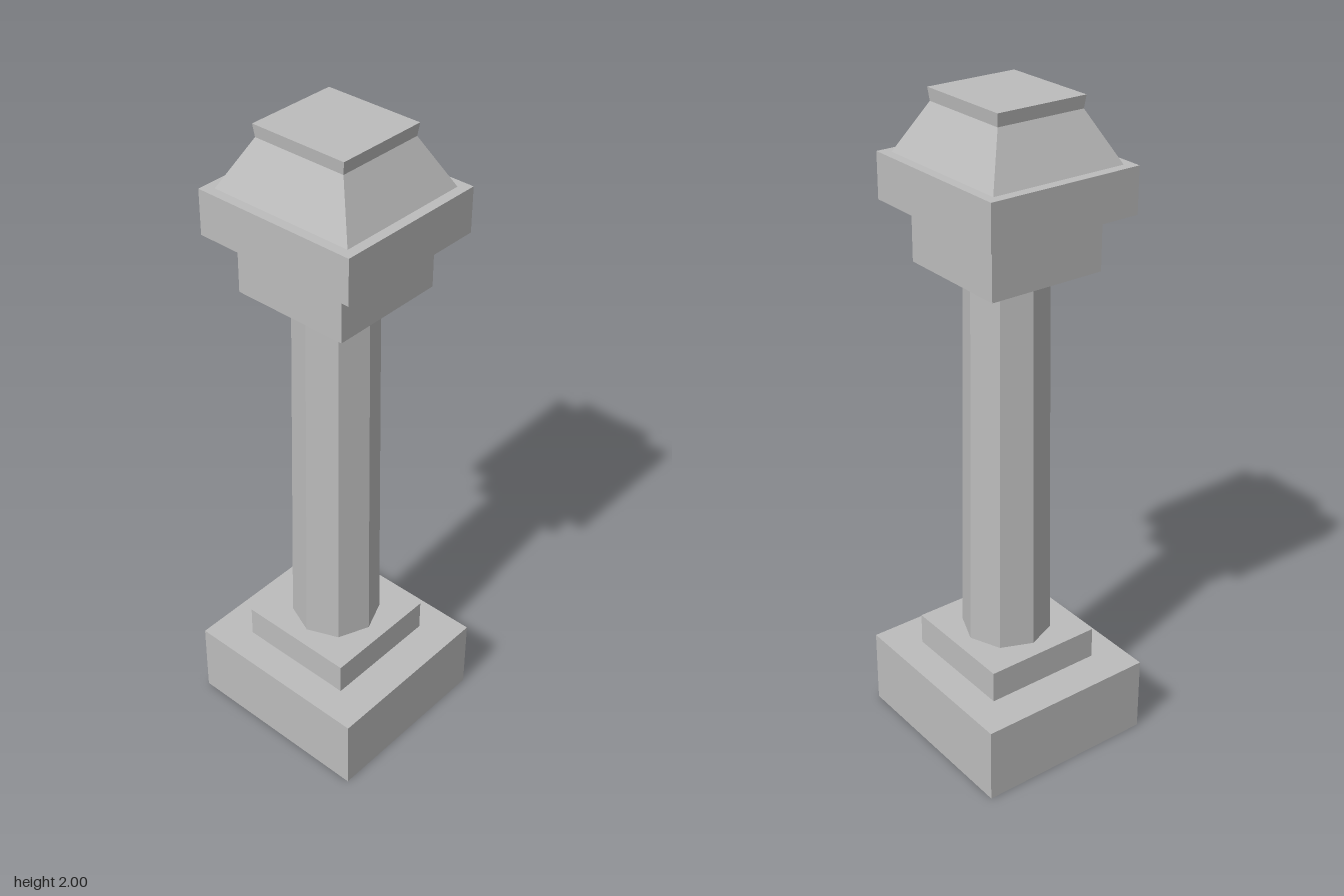
import * as THREE from 'three';

export function createModel() {
  const model = new THREE.Group();
  const stone = new THREE.MeshStandardMaterial({ color: 0xbcbcbc });
  stone.name = 'grey stone';

  const add = (name, geometry, y0, y1) => {
    const mesh = new THREE.Mesh(geometry, stone);
    mesh.name = name;
    mesh.position.y = (y0 + y1) / 2;
    model.add(mesh);
  };

  // Rectangular block whose top may differ in size from its bottom (half sizes in x and z)
  const block = (name, y0, y1, [bx, bz], [tx, tz] = [bx, bz]) => {
    let geometry = new THREE.BoxGeometry(2, y1 - y0, 2);
    const p = geometry.attributes.position;
    for (let i = 0; i < p.count; i++) {
      const top = p.getY(i) > 0;
      p.setX(i, p.getX(i) * (top ? tx : bx));
      p.setZ(i, p.getZ(i) * (top ? tz : bz));
    }
    geometry = geometry.toNonIndexed();
    geometry.computeVertexNormals();
    add(name, geometry, y0, y1);
  };

  // Stepped foot
  block('plinth', 0, 0.24, [0.285, 0.305]);
  block('footStep', 0.24, 0.34, [0.188, 0.188]);

  // Tapered eight-sided shaft, with a corner facing the front
  const shaft = new THREE.CylinderGeometry(0.121, 0.136, 1.175, 8).toNonIndexed();
  shaft.computeVertexNormals();
  add('shaft', shaft, 0.34, 1.515);

  // Capital
  block('capitalNeck', 1.515, 1.685, [0.183, 0.183]);
  block('capitalSlab', 1.685, 1.82, [0.24, 0.257]);

  // Sloped crown and its slightly flared cap
  block('crown', 1.82, 1.963, [0.211, 0.227], [0.138, 0.148]);
  block('crownCap', 1.963, 2, [0.138, 0.148], [0.142, 0.153]);

  return model;
}
